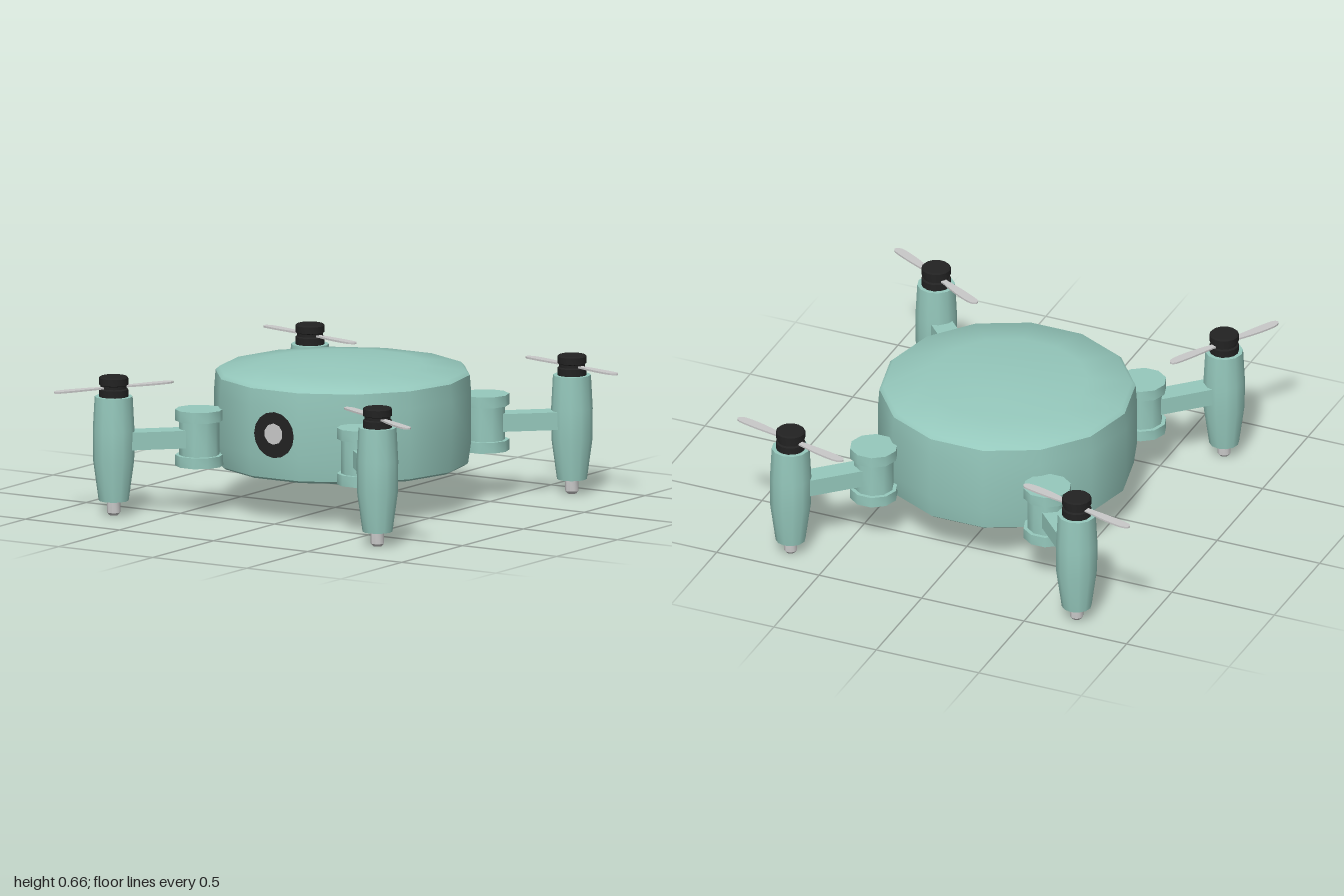
import * as THREE from 'three';
import { toCreasedNormals } from 'three/addons/utils/BufferGeometryUtils.js';

const paint = (name, color) => {
  const m = new THREE.MeshStandardMaterial({ color });
  m.name = name;
  return m;
};

// Turned part from [radius, height] pairs, listed bottom to top
function turned(profile, sides) {
  const pts = profile.map(([r, y]) => new THREE.Vector2(r, y));
  return toCreasedNormals(new THREE.LatheGeometry(pts, sides, Math.PI / 2), 0.66);
}

// Two-bladed propeller lying flat, rounded paddle tips
function propellerGeometry() {
  const s = new THREE.Shape();
  s.moveTo(0, -0.012);
  for (const d of [1, -1]) {
    s.lineTo(d * 0.07, -d * 0.014);
    s.bezierCurveTo(d * 0.14, -d * 0.024, d * 0.2, -d * 0.027, d * 0.26, -d * 0.022);
    s.bezierCurveTo(d * 0.305, -d * 0.018, d * 0.315, d * 0.012, d * 0.28, d * 0.02);
    s.bezierCurveTo(d * 0.22, d * 0.024, d * 0.14, d * 0.018, d * 0.07, d * 0.013);
  }
  s.closePath();
  const g = new THREE.ExtrudeGeometry(s, { depth: 0.008, bevelEnabled: false, curveSegments: 6 });
  g.rotateX(-Math.PI / 2);
  return g;
}

export function createModel() {
  const model = new THREE.Group();
  model.name = 'quadcopter';
  const teal = paint('teal shell', 0x95c8bc);
  const black = paint('black', 0x222222);
  const grey = paint('light grey', 0xc8c8c8);

  const add = (parent, name, geometry, material, x = 0, y = 0, z = 0) => {
    const mesh = new THREE.Mesh(geometry, material);
    mesh.name = name;
    mesh.position.set(x, y, z);
    parent.add(mesh);
    return mesh;
  };

  // Drum body with domed lid
  const bx = -0.012, bz = -0.08;
  add(model, 'body', turned([
    [0, 0.19], [0.55, 0.19], [0.564, 0.2], [0.578, 0.3], [0.578, 0.52],
    [0.572, 0.6], [0.555, 0.616], [0.36, 0.642], [0.18, 0.657], [0, 0.663],
  ], 14), teal, bx, 0, bz);

  // Camera on the flat front facet
  const front = bz + 0.578 * Math.cos(Math.PI / 14);
  const disc = (r, sides) => new THREE.CylinderGeometry(r, r, 0.008, sides).rotateX(Math.PI / 2);
  add(model, 'cameraRing', disc(0.104, 16), black, bx, 0.4, front);
  add(model, 'cameraLens', disc(0.048, 10), grey, bx, 0.405, front + 0.003);

  // Shared geometry for the four rotor arms
  const hinge = turned([
    [0, 0.213], [0.108, 0.213], [0.108, 0.262], [0.09, 0.262],
    [0.09, 0.418], [0.108, 0.418], [0.108, 0.468], [0, 0.468],
  ], 10);
  const pod = turned([
    [0, 0.068], [0.067, 0.068], [0.092, 0.25], [0.093, 0.39], [0.085, 0.54], [0, 0.54],
  ], 12);
  const hub = turned([
    [0, 0.535], [0.066, 0.535], [0.066, 0.572], [0.058, 0.577],
    [0.058, 0.59], [0.066, 0.594], [0.066, 0.624], [0.06, 0.63], [0, 0.63],
  ], 14);
  const foot = turned([[0, 0], [0.02, 0.002], [0.03, 0.014], [0.03, 0.07]], 10);
  const blades = propellerGeometry();

  // Hinge x, z; motor x, z; propeller angle in degrees
  const rotors = [
    ['frontLeft', 0.415, 0.43, 0.69, 0.72, -29.5],
    ['frontRight', -0.445, 0.43, -0.723, 0.703, 60.4],
    ['backLeft', 0.415, -0.59, 0.70, -0.863, -15.3],
    ['backRight', -0.435, -0.598, -0.705, -0.883, -14.9],
  ];
  for (const [name, hx, hz, mx, mz, angle] of rotors) {
    const rotor = new THREE.Group();
    rotor.name = name + 'Rotor';
    model.add(rotor);
    add(rotor, 'hinge', hinge, teal, hx, 0, hz);
    // Straight bar between hinge and motor
    const length = Math.hypot(mx - hx, mz - hz);
    const arm = add(rotor, 'arm', new THREE.BoxGeometry(0.1, 0.08, length), teal,
      (hx + mx) / 2, 0.34, (hz + mz) / 2);
    arm.rotation.y = Math.atan2(mx - hx, mz - hz);
    add(rotor, 'motorPod', pod, teal, mx, 0, mz);
    add(rotor, 'motorHub', hub, black, mx, 0, mz);
    add(rotor, 'foot', foot, grey, mx, 0, mz);
    add(rotor, 'propeller', blades, grey, mx, 0.577, mz).rotation.y = THREE.MathUtils.degToRad(angle);
  }
  return model;
}
